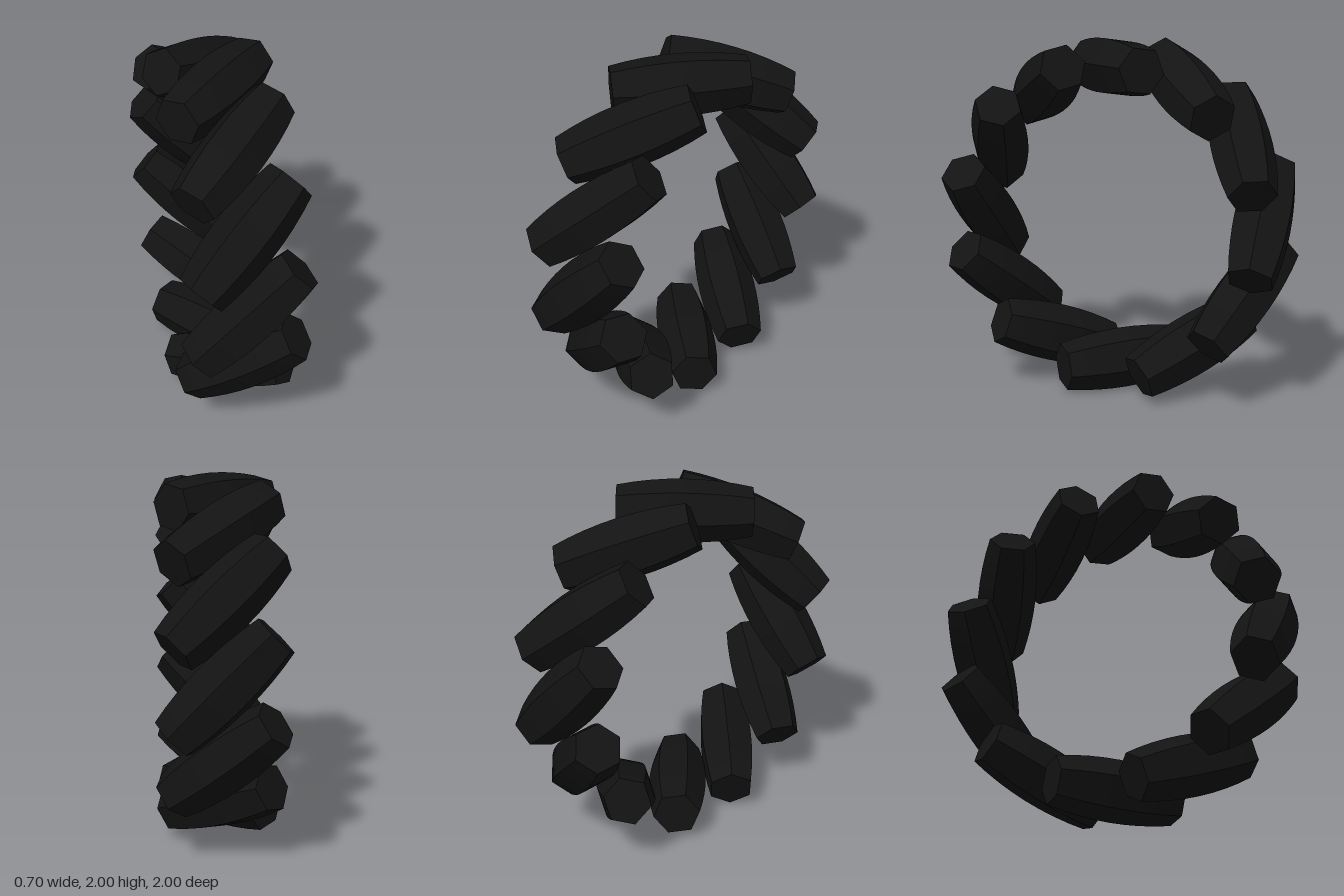
import * as THREE from 'three';

const COUNT = 12;                           // barrels around the ring
const RING_RADIUS = 0.84;
const HALF_LENGTH = 0.368;
const MID_RADIUS = 0.171, END_RADIUS = 0.133;
const TILT = THREE.MathUtils.degToRad(45.5); // slant of each barrel along the ring
const ROLL = THREE.MathUtils.degToRad(20);  // turn of each barrel about its own axis
const START = -0.035;                       // angle of the first barrel

// Six-sided barrel along y, bulging in the middle, with flat ends
function barrelGeometry() {
  const rows = 8;
  const profile = [new THREE.Vector2(0, -HALF_LENGTH)];
  for (let i = 0; i <= rows; i++) {
    const t = (i / rows) * 2 - 1;
    profile.push(new THREE.Vector2(MID_RADIUS - (MID_RADIUS - END_RADIUS) * t * t, t * HALF_LENGTH));
  }
  profile.push(new THREE.Vector2(0, HALF_LENGTH));
  return new THREE.LatheGeometry(profile, 6);
}

export function createModel() {
  const group = new THREE.Group();
  group.name = 'beadRing';
  const geometry = barrelGeometry();
  const material = new THREE.MeshStandardMaterial({ color: 0x131313, flatShading: true });

  // Barrels spaced around an upright ring, each slanted and rolled the same way
  for (let i = 0; i < COUNT; i++) {
    const a = START + (i / COUNT) * Math.PI * 2;
    const radial = new THREE.Vector3(0, Math.sin(a), Math.cos(a));
    const tangent = new THREE.Vector3(0, Math.cos(a), -Math.sin(a));
    const axis = new THREE.Vector3(Math.cos(TILT), 0, 0).addScaledVector(tangent, Math.sin(TILT));
    const across = new THREE.Vector3().crossVectors(axis, radial);

    const barrel = new THREE.Mesh(geometry, material);
    barrel.name = `barrel${i + 1}`;
    barrel.quaternion.setFromRotationMatrix(new THREE.Matrix4().makeBasis(across, axis, radial));
    barrel.rotateY(ROLL);
    barrel.position.copy(radial).multiplyScalar(RING_RADIUS);
    barrel.position.y += 1;
    group.add(barrel);
  }
  return group;
}
